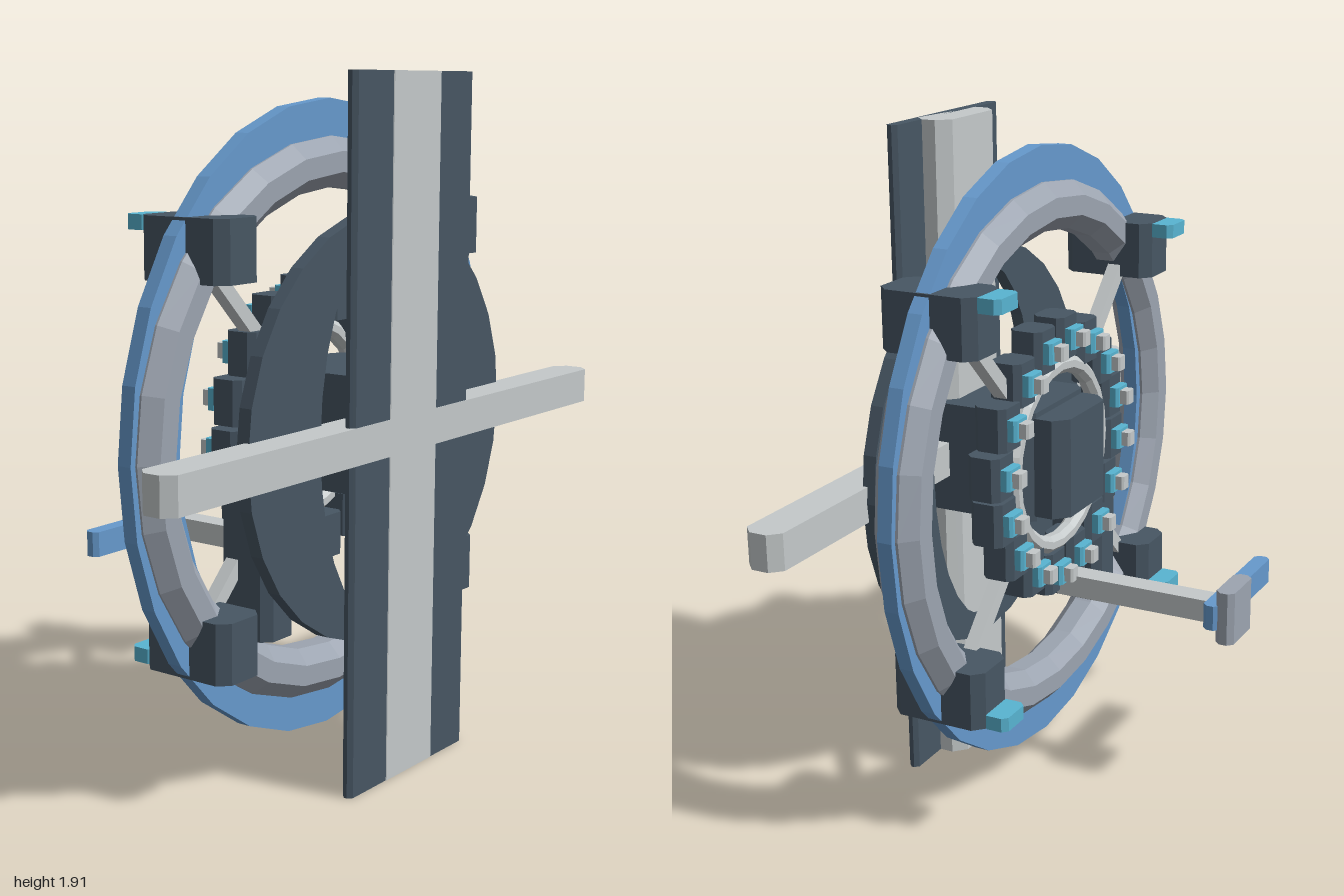
import * as THREE from 'three';

const mat = (name, color) => {
  const m = new THREE.MeshStandardMaterial({ color });
  m.name = name;
  return m;
};

const CY = 0.958; // height of the wheel axis

export function createModel() {
  const model = new THREE.Group();
  model.name = 'ringStation';
  const dark = mat('slate', 0x475663);
  const light = mat('paleGrey', 0xc4c9ca);
  const blue = mat('blue', 0x6699cc);
  const cyan = mat('cyan', 0x58b4d1);
  const steel = mat('steelGrey', 0x9ca4b0);

  // adds a mesh with faceted normals
  const add = (name, geo, material, parent = model) => {
    const g = geo.index ? geo.toNonIndexed() : geo;
    g.computeVertexNormals();
    const mesh = new THREE.Mesh(g, material);
    mesh.name = name;
    parent.add(mesh);
    return mesh;
  };

  // block between two corners, its four upright edges cut by c
  const block = (name, material, [x0, x1], [y0, y1], [z0, z1], c, parent) => {
    const s = new THREE.Shape([
      [x0 + c, -z0], [x0, -z0 - c], [x0, -z1 + c], [x0 + c, -z1],
      [x1 - c, -z1], [x1, -z1 + c], [x1, -z0 - c], [x1 - c, -z0],
    ].map(([x, y]) => new THREE.Vector2(x, y)));
    const g = new THREE.ExtrudeGeometry(s, { depth: y1 - y0, bevelEnabled: false });
    g.rotateX(-Math.PI / 2).translate(0, y0, 0);
    return add(name, g, material, parent);
  };

  // flat oval plate with an oval hole
  const ovalRing = (name, material, [ox, oy], [ix, iy], [z0, z1]) => {
    const oval = (rx, ry) => Array.from({ length: 28 }, (_, i) => {
      const a = (i / 28) * Math.PI * 2;
      return new THREE.Vector2(rx * Math.cos(a), ry * Math.sin(a));
    });
    const s = new THREE.Shape(oval(ox, oy));
    s.holes.push(new THREE.Path(oval(ix, iy)));
    const g = new THREE.ExtrudeGeometry(s, { depth: z1 - z0, bevelEnabled: false });
    add(name, g.translate(0, CY, z0), material);
  };

  // eight-sided tube bent into a ring
  const tubeRing = (name, material, R, rr, rz, z, sy, segments) => {
    const pts = Array.from({ length: 9 }, (_, i) => {
      const a = ((i + 0.5) / 8) * Math.PI * 2;
      return new THREE.Vector2(R + rr * Math.cos(a), rz * Math.sin(a));
    });
    const g = new THREE.LatheGeometry(pts, segments);
    g.rotateX(Math.PI / 2).scale(1, sy, 1).translate(0, CY, z);
    add(name, g, material);
  };

  // front cross of beams on a backing plank
  block('plank', dark, [-0.28, 0.28], [0, 1.91], [0.44, 0.473], 0.012);
  block('uprightBeam', light, [-0.145, 0.145], [0, 1.91], [0.364, 0.475], 0.035);
  block('crossBeam', light, [-1, 1], [0.905, 1.005], [0.366, 0.475], 0.03);

  // pierced disc, axle and rear hub
  ovalRing('disc', dark, [0.597, 0.59], [0.295, 0.535], [0.342, 0.38]);
  block('axle', dark, [-0.17, 0.17], [0.8, 1.12], [0.1, 0.445], 0.03);
  block('hub', dark, [-0.145, 0.145], [0.815, 1.105], [0.01, 0.2], 0.04);

  // main ring with its fin, and the small inner ring
  tubeRing('mainRing', steel, 0.731, 0.076, 0.073, 0.17, 0.975, 28);
  ovalRing('ringFin', blue, [0.818, 0.882], [0.635, 0.7], [0.15, 0.192]);
  tubeRing('innerRing', light, 0.265, 0.027, 0.027, 0.11, 1, 24);

  // four corner pods with lamps and diagonal struts
  for (const sx of [-1, 1]) for (const sy of [-1, 1]) {
    const pod = new THREE.Group();
    pod.name = 'pod';
    model.add(pod);
    const px = sx * 0.524, py = CY + sy * 0.512, ly = CY + sy * 0.573;
    block('podBody', dark, [px - 0.082, px + 0.082], [py - 0.082, py + 0.082], [0.028, 0.31], 0.03, pod);
    block('podLamp', cyan, [px - 0.056, px + 0.056], [ly - 0.02, ly + 0.02], [-0.035, 0.04], 0.015, pod);
    const strut = add('strut', new THREE.BoxGeometry(0.4, 0.04, 0.04), light, pod);
    strut.position.set(sx * 0.36, CY + sy * 0.355, 0.14);
    strut.rotation.z = sx * sy * Math.PI / 4;
  }

  // circle of upright modules, each with a panel and a cap
  for (let i = 0; i < 16; i++) {
    const a = ((i + 0.3) / 16) * Math.PI * 2;
    const x = 0.345 * Math.cos(a), y = CY + 0.345 * Math.sin(a);
    const unit = new THREE.Group();
    unit.name = 'module';
    model.add(unit);
    block('moduleBody', dark, [x - 0.055, x + 0.055], [y - 0.062, y + 0.062], [0.083, 0.18], 0.018, unit);
    block('modulePanel', cyan, [x - 0.036, x + 0.036], [y - 0.03, y + 0.03], [0.056, 0.09], 0.008, unit);
    block('moduleCap', light, [x - 0.021, x + 0.021], [y - 0.021, y + 0.021], [0.028, 0.06], 0.006, unit);
  }

  // equipment box hung at the lower right
  block('equipmentBox', dark, [-0.365, -0.235], [0.41, 0.79], [0.09, 0.26], 0.025);

  // rear boom with its arm and end block
  block('boom', light, [-0.035, 0.035], [0.54, 0.605], [-0.39, 0.1], 0.01);
  block('boomArm', blue, [-0.34, 0.075], [0.537, 0.61], [-0.43, -0.383], 0.013);
  block('boomEnd', steel, [-0.08, 0.075], [0.5, 0.655], [-0.475, -0.42], 0.016);

  return model;
}
